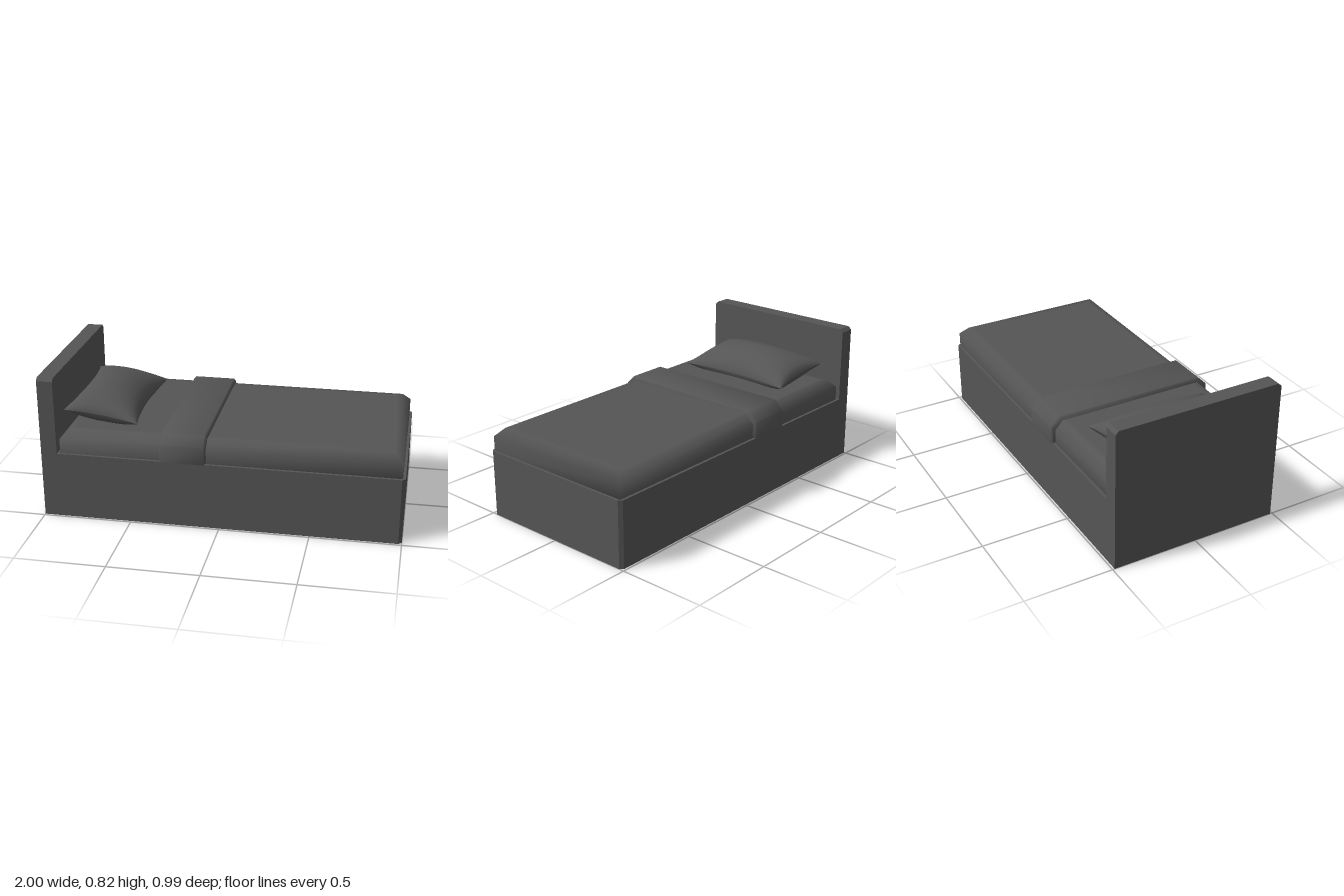
import * as THREE from 'three';
import { toCreasedNormals } from 'three/addons/utils/BufferGeometryUtils.js';

const polygon = (pts) => new THREE.Shape(pts.map(([x, y]) => new THREE.Vector2(x, y)));

function indexed(positions, indices) {
  const g = new THREE.BufferGeometry();
  g.setAttribute('position', new THREE.Float32BufferAttribute(positions, 3));
  g.setIndex(indices);
  g.computeVertexNormals();
  return g;
}

// Arch-like outline with clipped top corners, in (z, y)
const clipped = (half, y0, y1, cut) => polygon([
  [-half, y0], [half, y0], [half, y1 - cut], [half - cut, y1], [-half + cut, y1], [-half, y1 - cut],
]);

// Stacked rectangles with smooth shoulders and a flat top
function mattressGeometry() {
  const rings = [[0.375, 0], [0.462, 0], [0.51, 0.046], [0.51, 0.08]];
  const pos = [], idx = [];
  for (const [y, inset] of rings) {
    const x0 = -0.895 + inset, x1 = 0.985 - inset, z = 0.473 - inset;
    pos.push(x0, y, z, x1, y, z, x1, y, -z, x0, y, -z);
  }
  for (let r = 0; r < rings.length - 1; r++) {
    for (let i = 0; i < 4; i++) {
      const a = r * 4 + i, b = r * 4 + (i + 1) % 4;
      idx.push(a, b, b + 4, a, b + 4, a + 4);
    }
  }
  const t = (rings.length - 1) * 4;
  idx.push(t, t + 1, t + 2, t, t + 2, t + 3);
  return indexed(pos, idx);
}

// One half of the pillow: a pinched grid puffed up or down from a tilted seam
function pillowHalf(side) {
  const n = 16, pos = [], idx = [];
  for (let j = 0; j <= n; j++) {
    for (let i = 0; i <= n; i++) {
      const u = Math.sin((i / n - 0.5) * Math.PI), v = Math.sin((j / n - 0.5) * Math.PI);
      const x = -0.69 + u * (0.21 - 0.036 * (1 - v * v));
      const z = v * (0.36 - 0.028 * (1 - u * u));
      const puff = Math.pow(Math.max(0, 1 - u * u), 0.55) * Math.pow(Math.max(0, 1 - v * v), 0.45);
      const seam = 0.5625 - 0.0275 * u;
      const y = side > 0 ? seam + 0.104 * puff : Math.max(0.505, seam - 0.11 * puff);
      pos.push(x, y, z);
    }
  }
  for (let j = 0; j < n; j++) {
    for (let i = 0; i < n; i++) {
      const a = j * (n + 1) + i, b = a + 1, c = a + n + 1, d = c + 1;
      if (side > 0) idx.push(a, c, b, b, c, d);
      else idx.push(a, b, c, b, d, c);
    }
  }
  return indexed(pos, idx);
}

export function createModel() {
  const group = new THREE.Group();
  const grey = new THREE.MeshStandardMaterial({ color: 0x555555 });
  grey.name = 'dark grey';
  const add = (name, geometry, parent = group) => {
    const mesh = new THREE.Mesh(geometry, grey);
    mesh.name = name;
    parent.add(mesh);
  };

  // Box base with clipped corners at the foot end
  const c = 0.018, w = 0.488;
  const plan = polygon([[-0.91, -w], [1 - c, -w], [1, -w + c], [1, w - c], [1 - c, w], [-0.91, w]]);
  add('base', new THREE.ExtrudeGeometry(plan, { depth: 0.38, bevelEnabled: false }).rotateX(-Math.PI / 2));

  // Headboard down to the floor
  add('headboard', new THREE.ExtrudeGeometry(clipped(w, 0, 0.82, c), { depth: 0.09, bevelEnabled: false })
    .rotateY(Math.PI / 2).translate(-1, 0, 0));

  add('mattress', mattressGeometry());

  // Folded throw across the mattress
  const band = new THREE.ExtrudeGeometry(clipped(0.495, 0.38, 0.533, 0.053), {
    depth: 0.235, bevelThickness: 0.01, bevelSize: 0.01, bevelOffset: -0.01, bevelSegments: 1,
  }).rotateY(Math.PI / 2).translate(-0.318, 0, 0);
  add('throwBlanket', toCreasedNormals(band, 0.9));

  // Pillow leaning slightly toward the headboard
  const pillow = new THREE.Group();
  pillow.name = 'pillow';
  add('pillowTop', pillowHalf(1), pillow);
  add('pillowUnderside', pillowHalf(-1), pillow);
  group.add(pillow);

  return group;
}
